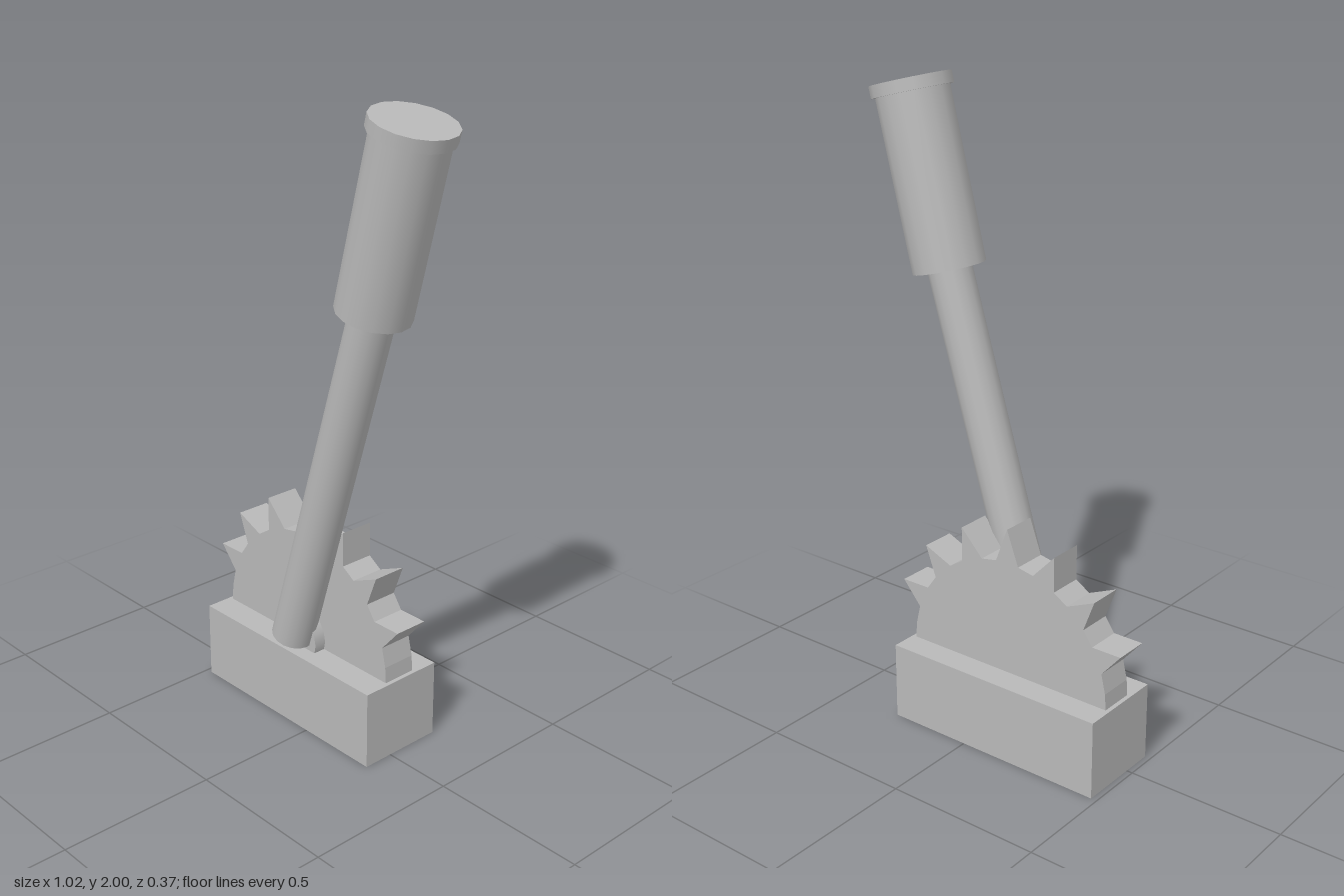
import * as THREE from 'three';

export function createModel() {
  const model = new THREE.Group();
  const steel = new THREE.MeshStandardMaterial({ color: 0xb8b8b8 });
  steel.name = 'greySteel';

  const add = (name, geometry, parent = model) => {
    const mesh = new THREE.Mesh(geometry, steel);
    mesh.name = name;
    parent.add(mesh);
    return mesh;
  };

  // Rectangular foot
  add('base', new THREE.BoxGeometry(0.755, 0.25, 0.285)).position.set(-0.103, 0.125, -0.043);

  // Half-disc ratchet with seven pointed teeth, standing on the base
  const pivotX = -0.103, baseTop = 0.25;
  const bodyRadius = 0.364, halfTooth = 6.5, pitch = 21.8;
  const outline = new THREE.Shape();
  const point = (degrees, radius) => {
    const a = THREE.MathUtils.degToRad(degrees);
    outline.lineTo(radius * Math.cos(a), radius * Math.sin(a));
  };
  outline.moveTo(-bodyRadius, -0.05);
  outline.lineTo(bodyRadius, -0.05);
  point(0, bodyRadius);
  point(8, bodyRadius);
  for (let i = -3; i <= 3; i++) {
    const angle = 90 + i * pitch;
    point(angle - halfTooth, bodyRadius);
    point(angle, 0.472 - Math.abs(i) * 0.007);
    point(angle + halfTooth, bodyRadius);
  }
  point(172, bodyRadius);
  point(180, bodyRadius);
  const ratchet = new THREE.ExtrudeGeometry(outline, { depth: 0.112, bevelEnabled: false });
  add('ratchetWheel', ratchet).position.set(pivotX, baseTop, -0.102);

  // Pivot boss between the ratchet and the lever
  const boss = add('pivotBoss', new THREE.CylinderGeometry(0.092, 0.092, 0.06, 16));
  boss.rotation.x = Math.PI / 2;
  boss.position.set(pivotX, 0.277, 0.02);

  // Lever: each section runs along a line from its start point
  const leverZ = 0.061;
  const section = (name, x, y, tilt, start, length, radius) => {
    const geometry = new THREE.CylinderGeometry(radius, radius, length, 16);
    geometry.translate(0, start + length / 2, 0);
    const mesh = add(name, geometry);
    mesh.position.set(x, y, leverZ);
    mesh.rotation.z = -THREE.MathUtils.degToRad(tilt);
  };
  section('leverShaft', pivotX, 0.288, 16.9, 0, 1.23, 0.068);
  section('leverGrip', 0.243, 1.423, 14.6, 0, 0.53, 0.112);
  section('gripCap', 0.243, 1.423, 14.6, 0.525, 0.037, 0.124);

  return model;
}
